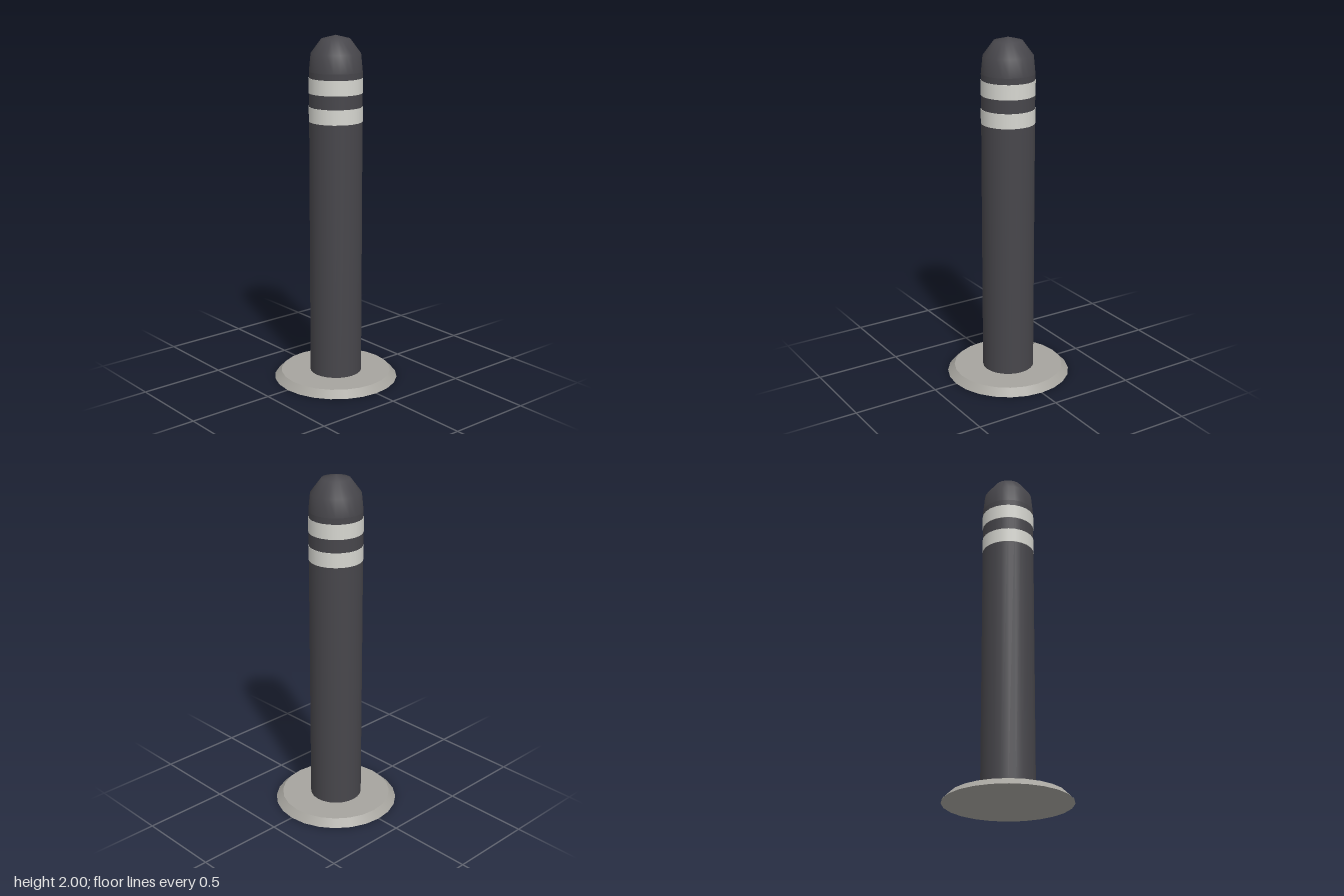
import * as THREE from 'three';

const SIDES = 24;

export function createModel() {
  const model = new THREE.Group();
  const darkGrey = new THREE.MeshStandardMaterial({ name: 'dark grey', color: 0x47464b });
  const stoneGrey = new THREE.MeshStandardMaterial({ name: 'stone grey', color: 0xa6a49e });
  const paleBand = new THREE.MeshStandardMaterial({ name: 'pale band', color: 0xd6d6d0 });

  const add = (name, geometry, material, y = 0) => {
    const mesh = new THREE.Mesh(geometry, material);
    mesh.name = name;
    mesh.position.y = y;
    model.add(mesh);
  };

  // Bevelled foot plate
  add('basePlate', new THREE.CylinderGeometry(0.32, 0.36, 0.04, SIDES), stoneGrey, 0.02);

  // Straight post
  add('post', new THREE.CylinderGeometry(0.15, 0.15, 1.76, SIDES), darkGrey, 0.92);

  // Rounded cap
  const profile = [[0.15, 1.8], [0.14, 1.9], [0.08, 1.98], [0, 2]];
  add('domeCap', new THREE.LatheGeometry(profile.map(([r, y]) => new THREE.Vector2(r, y)), SIDES), darkGrey);

  // Two reflective bands standing just proud of the post
  for (const [name, y] of [['lowerBand', 1.563], ['upperBand', 1.723]]) {
    add(name, new THREE.CylinderGeometry(0.152, 0.152, 0.084, SIDES), paleBand, y);
  }

  return model;
}
